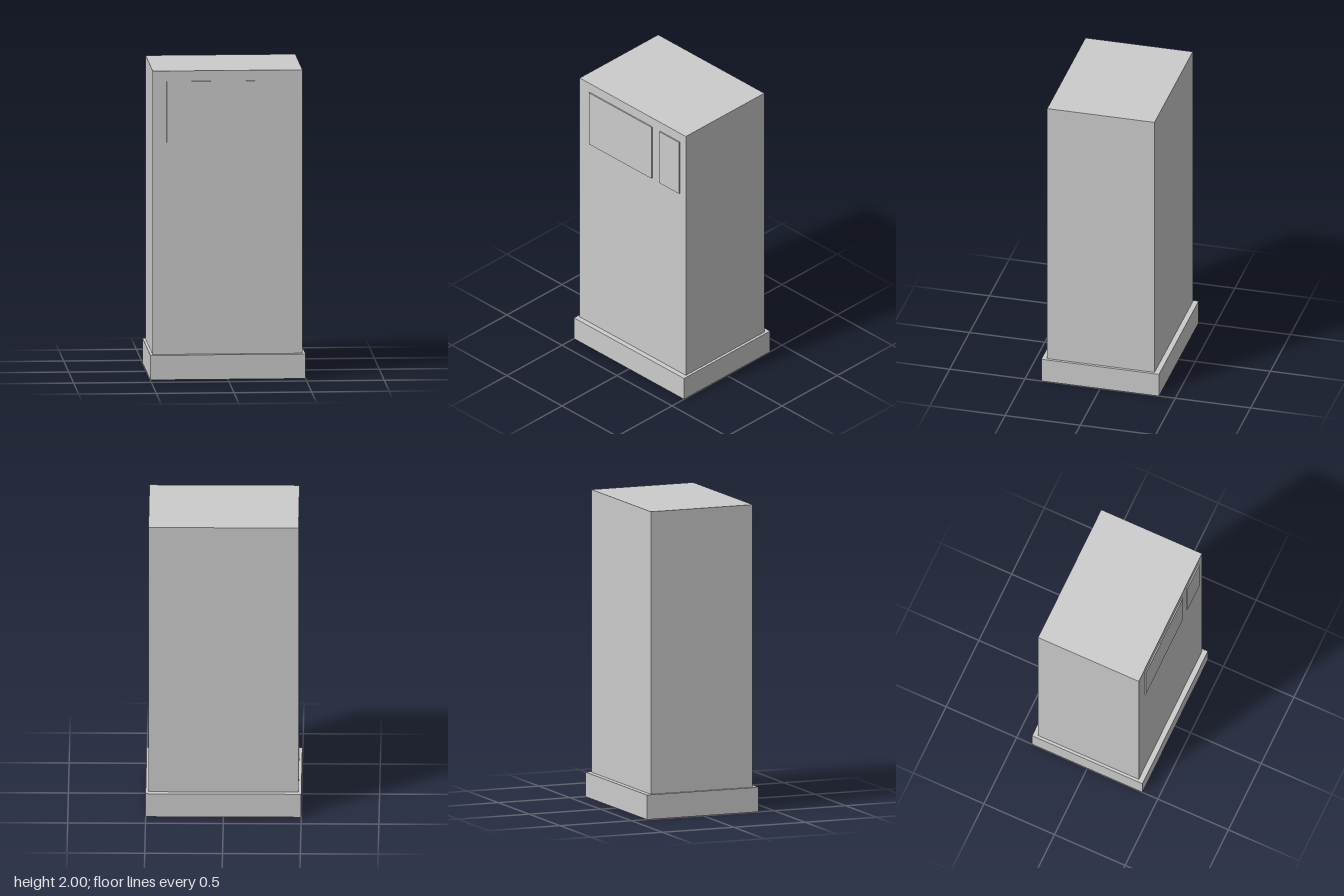
import * as THREE from 'three';

const BASE_HEIGHT = 0.16;
const BODY_DEPTH = 0.713;

const material = new THREE.MeshStandardMaterial({ color: 0xcccccc, side: THREE.DoubleSide });

// Box without its underside, standing on y
function openBox(name, width, height, depth, y) {
  const geometry = new THREE.BoxGeometry(width, height, depth);
  const index = Array.from(geometry.index.array);
  index.splice(18, 6); // the -y face
  geometry.setIndex(index);
  const mesh = new THREE.Mesh(geometry, material);
  mesh.name = name;
  mesh.position.y = y + height / 2;
  return mesh;
}

// Thin raised plate on the front of the body
function frontPanel(name, x0, x1, y0, y1) {
  const thickness = 0.008;
  const mesh = new THREE.Mesh(new THREE.BoxGeometry(x1 - x0, y1 - y0, thickness), material);
  mesh.name = name;
  mesh.position.set((x0 + x1) / 2, (y0 + y1) / 2, (BODY_DEPTH + thickness) / 2);
  return mesh;
}

export function createModel() {
  const model = new THREE.Group();
  model.name = 'cabinet';
  model.add(
    // Hollow plinth, open underneath, with the cabinet standing on its lid
    openBox('plinth', 1, BASE_HEIGHT, 0.782, 0),
    openBox('body', 0.964, 2 - BASE_HEIGHT, BODY_DEPTH, BASE_HEIGHT),
    frontPanel('widePanel', -0.392, 0.177, 1.537, 1.932),
    frontPanel('narrowPanel', 0.248, 0.427, 1.537, 1.932),
  );
  return model;
}
